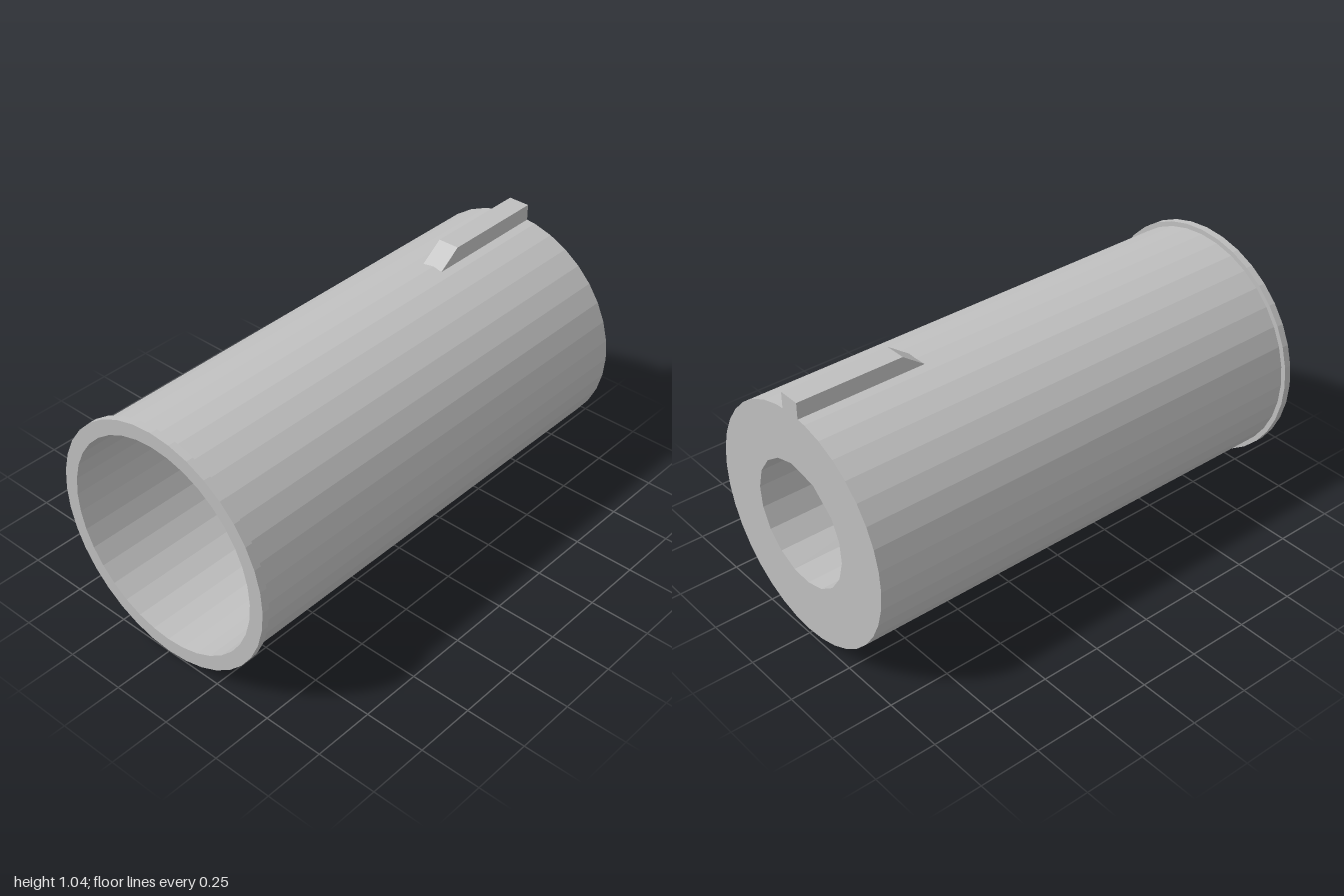
import * as THREE from 'three';

const SIDES = 36, CENTRE_Y = 0.5;
const BODY_R = 0.48, FLANGE_R = 0.5, BORE_R = 0.44, HOLE_R = 0.253;
const STEP_Z = -0.4; // where the wide bore meets the solid rear block

const onCircle = (r, deg, cy = 0) => {
  const a = THREE.MathUtils.degToRad(deg);
  return new THREE.Vector2(r * Math.cos(a), cy + r * Math.sin(a));
};

export function createModel() {
  const model = new THREE.Group();
  model.name = 'keyedSleeve';
  const steel = new THREE.MeshStandardMaterial({ color: 0xbfbfbf, flatShading: true });
  steel.name = 'grey steel';

  const add = (name, geometry) => {
    const mesh = new THREE.Mesh(geometry, steel);
    mesh.name = name;
    model.add(mesh);
    return mesh;
  };

  // Thin-walled front sleeve with its rim flange and wide bore
  const profile = [
    [BODY_R, STEP_Z], [BODY_R, 0.97], [FLANGE_R, 0.97],
    [FLANGE_R, 1], [BORE_R, 1], [BORE_R, STEP_Z],
  ].map(([r, z]) => new THREE.Vector2(r, z));
  const sleeve = add('flangedSleeve', new THREE.LatheGeometry(profile, SIDES));
  sleeve.rotation.x = Math.PI / 2;
  sleeve.position.y = CENTRE_Y;

  // Thick rear block with the narrow, slightly irregular through hole
  const ring = new THREE.Shape(
    Array.from({ length: SIDES }, (_, i) => onCircle(BODY_R, i * 360 / SIDES)));
  const holeAngles = Array.from({ length: 16 }, (_, i) => 85 - 20 * i);
  holeAngles.push(-245);
  ring.holes.push(new THREE.Path(holeAngles.map(d => onCircle(HOLE_R, d, 0.007))));
  const block = add('rearBlock',
    new THREE.ExtrudeGeometry(ring, { depth: STEP_Z + 1, bevelEnabled: false }));
  block.position.set(0, CENTRE_Y, -1);

  // Raised key along the top, with a sloping nose
  const keyWidth = 0.09;
  const side = new THREE.Shape([
    [-1, 0.95], [-0.425, 0.95], [-0.555, 1.043], [-1, 1.043],
  ].map(([z, y]) => new THREE.Vector2(z, y)));
  const key = add('topKey',
    new THREE.ExtrudeGeometry(side, { depth: keyWidth, bevelEnabled: false }));
  key.rotation.y = -Math.PI / 2;
  key.position.x = keyWidth / 2;

  return model;
}
